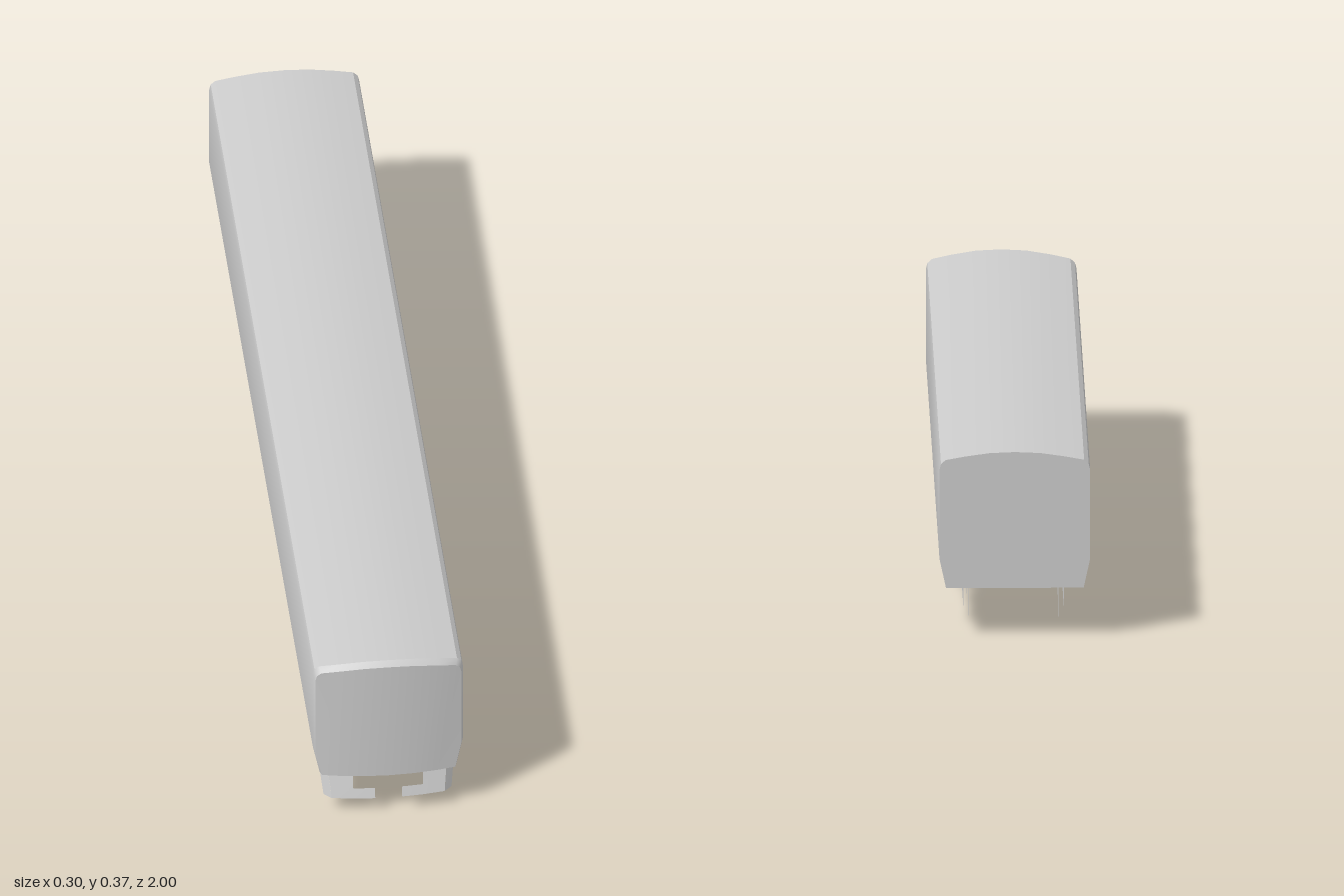
import * as THREE from 'three';
import { toCreasedNormals } from 'three/addons/utils/BufferGeometryUtils.js';

const mat = new THREE.MeshStandardMaterial({ color: 0xcccccc, side: THREE.DoubleSide });

function add(parent, name, geo, x = 0, y = 0, z = 0) {
  const mesh = new THREE.Mesh(geo, mat);
  mesh.name = name;
  mesh.position.set(x, y, z);
  parent.add(mesh);
  return mesh;
}

// Builds a geometry from a list of quads / triangles given as corner arrays
function fromFaces(faces, crease) {
  const pos = [];
  for (const f of faces)
    for (let i = 1; i < f.length - 1; i++) pos.push(...f[0], ...f[i], ...f[i + 1]);
  const g = new THREE.BufferGeometry();
  g.setAttribute('position', new THREE.Float32BufferAttribute(pos, 3));
  g.computeVertexNormals();
  return toCreasedNormals(g, crease);
}

// Half cross-section, bottom centre to top centre
const FLOOR = 0.098;
const half = [
  [0, FLOOR], [0.05, FLOOR], [0.1, FLOOR], [0.137, FLOOR], [0.15, 0.157], [0.15, 0.338],
  [0.147, 0.35], [0.138, 0.358], [0.1, 0.365], [0.05, 0.372], [0, 0.374],
];
const bow = (x) => 1 - 0.018 * (x / 0.15) ** 2;

function bodyGeometry() {
  const back = (x, y) => [x, y, -1];
  const shoulder = (x, y) => [x, y, bow(x) - 0.012];
  const nose = (x, y) => [x * 0.975, y > 0.3 ? y - 0.009 : y, bow(x)];
  const faces = [];
  for (const s of [1, -1]) {
    const put = (f) => faces.push(s > 0 ? f : f.reverse());
    const ring = (fn) => half.map(([x, y]) => fn(s * x, y));
    const rings = [back, shoulder, nose].map(ring);
    // Skin of sides and roof, open underneath
    for (let r = 0; r < 2; r++)
      for (let i = 3; i < half.length - 1; i++)
        put([rings[r][i], rings[r][i + 1], rings[r + 1][i + 1], rings[r + 1][i]]);
    // End walls, in upright strips
    for (const [r, flip] of [[rings[0], true], [rings[2], false]])
      for (const ids of [[0, 1, 9, 10], [1, 2, 8, 9], [2, 3, 4, 5, 6, 7, 8]]) {
        const f = ids.map((i) => r[i]);
        put(flip ? f.reverse() : f);
      }
  }
  return fromFaces(faces, 0.5);
}

// One side of the split valance below the nose, leaning forward at its foot
function valanceGeometry(s) {
  const p = (x, y) => [s * x, y, bow(x) - 0.034 + 0.022 * (FLOOR - y) / 0.064];
  const faces = [
    [p(0.07, 0.054), p(0.115, 0.054), p(0.12, FLOOR), p(0.07, FLOOR)],
    [p(0.027, 0.034), p(0.07, 0.034), p(0.07, 0.054), p(0.027, 0.054)],
    [p(0.07, 0.034), p(0.113, 0.034), p(0.115, 0.054), p(0.07, 0.054)],
  ];
  // Corner return, swept back
  const back = (x, y) => { const q = p(x, y); q[2] -= 0.012; return q; };
  faces.push([p(0.113, 0.034), back(0.128, 0.034), back(0.136, FLOOR), p(0.12, FLOOR)]);
  if (s < 0) faces.forEach((f) => f.reverse());
  return fromFaces(faces, 0.3);
}

// Open-bottomed equipment skirt
function skirtGeometry() {
  const w = 0.113, z0 = -0.515, z1 = 0.54;
  const c = [[w, z0], [-w, z0], [-w, z1], [w, z1]];
  return fromFaces(c.map(([x, z], i) => {
    const [u, v] = c[(i + 1) % 4];
    return [[x, 0.02, z], [u, 0.02, v], [u, FLOOR, v], [x, FLOOR, z]];
  }), 0.3);
}

// Flat outline in the z-y plane
function plate(points) {
  const g = new THREE.ShapeGeometry(new THREE.Shape(points.map(([z, y]) => new THREE.Vector2(z, y))));
  return g.rotateY(-Math.PI / 2);
}

function bogie(name, dir) {
  const g = new THREE.Group();
  g.name = name;
  const hex = Array.from({ length: 6 }, (_, i) =>
    [0.042 * Math.cos(i * Math.PI / 3), 0.042 * Math.sin(i * Math.PI / 3)]);
  // Wedge-shaped frame, deep at the outer end
  const frame = [[0.86, 0.022], [0.86, 0.075], [0.79, 0.064], [0.58, 0.032], [0.58, 0.022]]
    .map(([z, y]) => [dir * z, y]);
  for (const s of [1, -1]) {
    add(g, 'bogieFrame', plate(frame), s * 0.1, 0, 0);
    for (const z of [0.6, 0.81]) add(g, 'wheel', plate(hex), s * 0.09, 0.037, dir * z);
    add(g, 'spring', new THREE.CylinderGeometry(0.035, 0.035, 0.02, 6).toNonIndexed(),
      s * 0.105, 0.093, dir * 0.705);
  }
  return g;
}

export function createModel() {
  const model = new THREE.Group();
  model.name = 'railCar';
  add(model, 'body', bodyGeometry());
  add(model, 'underfloorSkirt', skirtGeometry());
  add(model, 'leftValance', valanceGeometry(1));
  add(model, 'rightValance', valanceGeometry(-1));
  model.add(bogie('frontBogie', 1), bogie('rearBogie', -1));
  return model;
}
